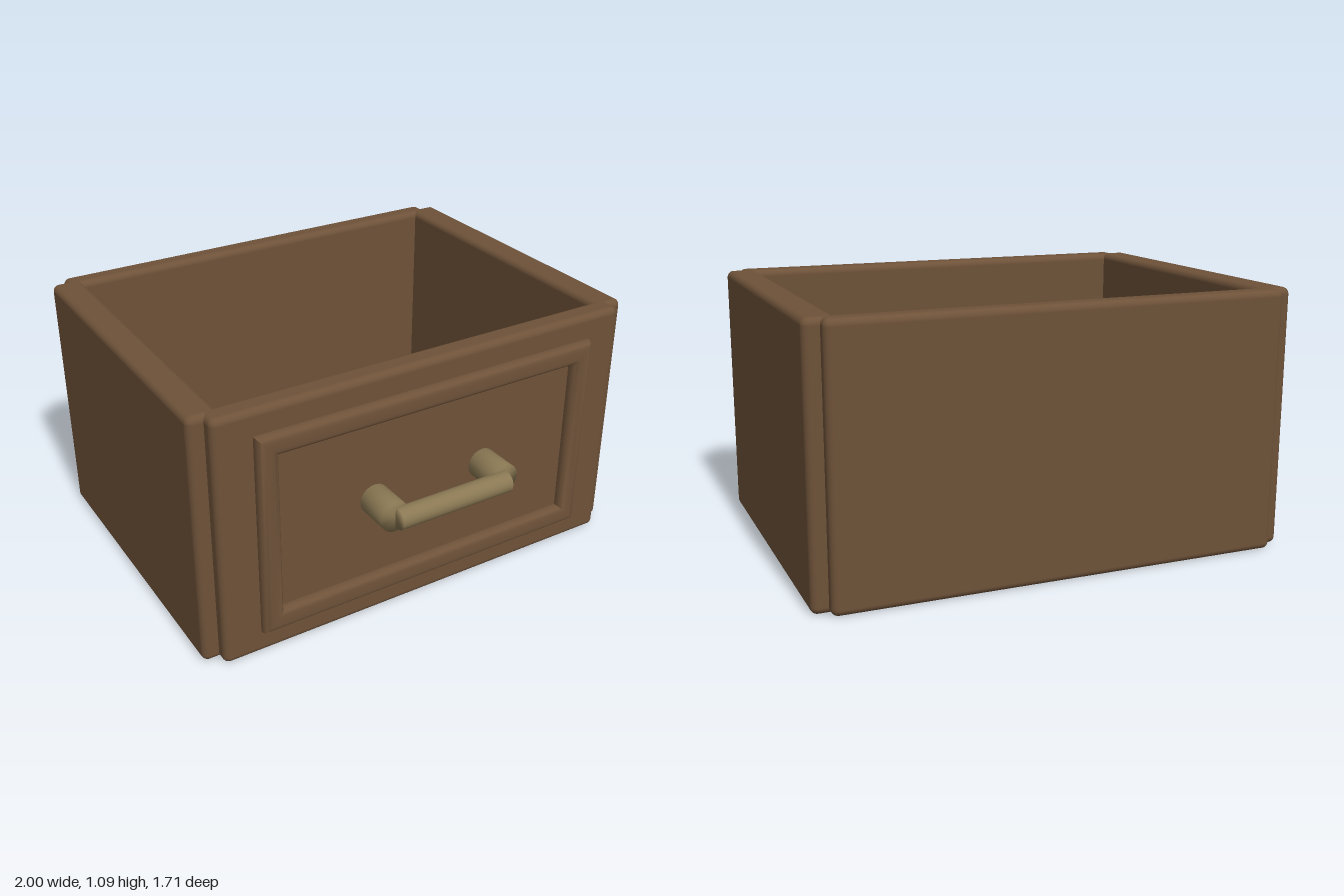
import * as THREE from 'three';
import { RoundedBoxGeometry } from 'three/addons/geometries/RoundedBoxGeometry.js';
import { mergeVertices, toCreasedNormals } from 'three/addons/utils/BufferGeometryUtils.js';

export function createModel() {
  const model = new THREE.Group();
  model.name = 'drawer';
  const wood = new THREE.MeshStandardMaterial({ color: 0x6e5239 });
  const brass = new THREE.MeshStandardMaterial({ color: 0x8a7853 });
  const height = 1.085;

  function add(name, geometry, material, x, y, z) {
    const mesh = new THREE.Mesh(geometry, material);
    mesh.name = name;
    mesh.position.set(x, y, z);
    model.add(mesh);
    return mesh;
  }

  // Board with softened edges, given by its x and z limits
  function board(name, x0, x1, z0, z1) {
    const geometry = new RoundedBoxGeometry(x1 - x0, height, z1 - z0, 4, 0.028);
    add(name, geometry, wood, (x0 + x1) / 2, height / 2, (z0 + z1) / 2);
  }
  board('leftSide', 0.87, 1, -0.81, 0.59);
  board('rightSide', -1, -0.87, -0.81, 0.59);
  board('frontPanel', -0.935, 0.935, 0.54, 0.645);
  board('backPanel', -0.935, 0.935, -0.857, -0.76);

  // Floor between the walls
  add('floor', new THREE.BoxGeometry(1.8, 0.1, 1.4), wood, 0, 0.052, -0.11);

  // Raised moulding on the front, rounded towards both edges
  function corners(w, h) {
    return [[-w, -h], [w, -h], [w, h], [-w, h]].map(([x, y]) => new THREE.Vector2(x, y));
  }
  const bevel = 0.03;
  const ring = new THREE.Shape(corners(0.775 - bevel, 0.4375 - bevel));
  ring.holes.push(new THREE.Path(corners(0.685 + bevel, 0.3475 + bevel)));
  const moulding = new THREE.ExtrudeGeometry(ring, {
    depth: 0.03, bevelEnabled: true, bevelThickness: bevel, bevelSize: bevel, bevelSegments: 5,
  });
  add('frontMoulding', toCreasedNormals(moulding, 0.7), wood, 0, 0.5425, 0.625);

  // Solid rod whose shading blends softly over its ends
  function softRod(radius, length) {
    const geometry = new THREE.CylinderGeometry(radius, radius, length, 32);
    geometry.deleteAttribute('normal');
    geometry.deleteAttribute('uv');
    const soft = mergeVertices(geometry);
    soft.computeVertexNormals();
    return soft;
  }

  // Handle: two posts carrying a grip bar
  for (const [name, side] of [['leftHandlePost', 1], ['rightHandlePost', -1]]) {
    add(name, softRod(0.065, 0.165), brass, side * 0.26, 0.545, 0.7125).rotation.x = Math.PI / 2;
  }
  add('handleGrip', softRod(0.045, 0.52), brass, 0, 0.545, 0.811).rotation.z = Math.PI / 2;

  return model;
}
